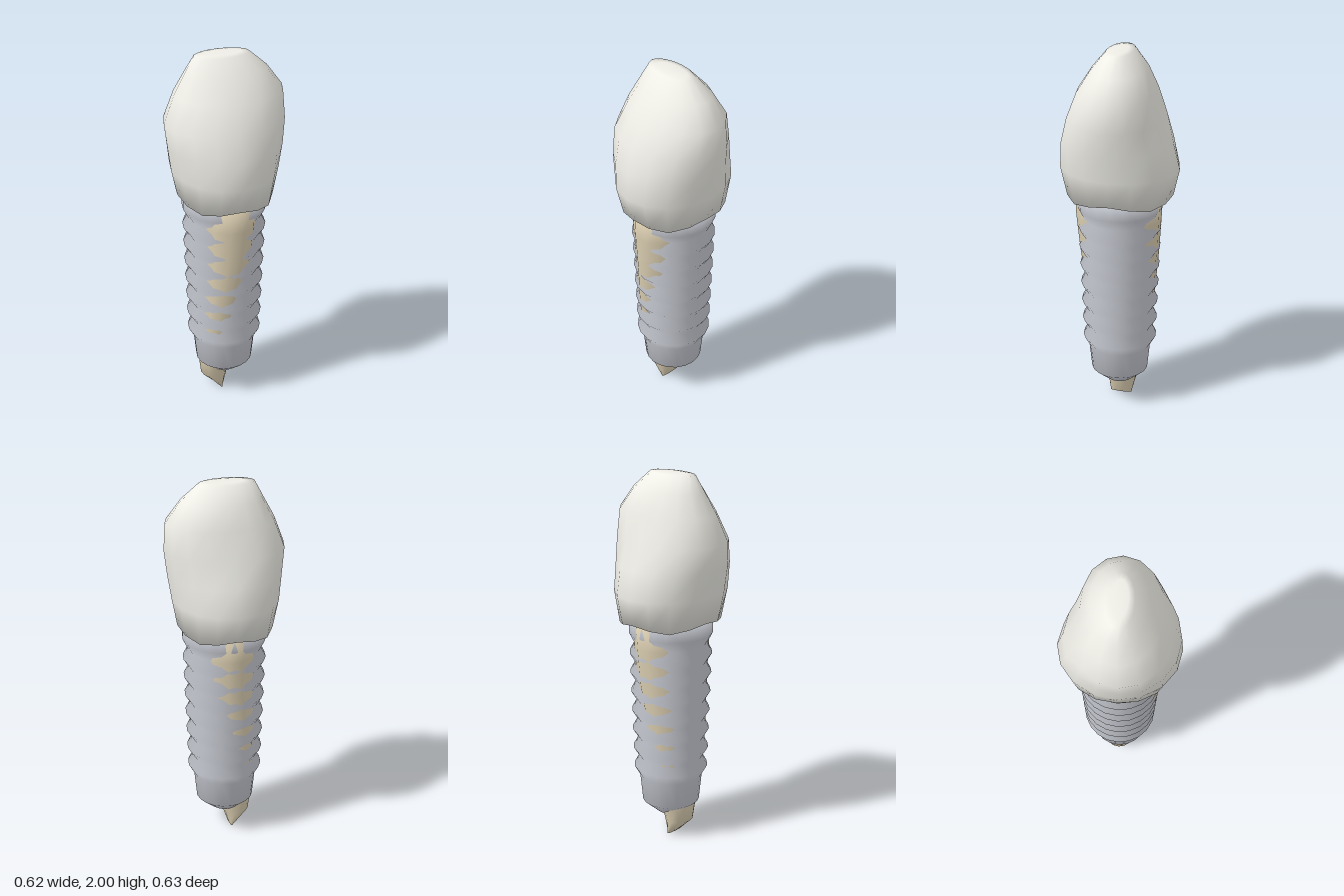
import * as THREE from 'three';

// Smooth closed loft through rings of [y, xMin, xMax, zBack, zFront];
// adjust(point, angle, ringIndex) may move single vertices.
function loft(rings, sides, adjust) {
  const pos = [], index = [];
  const p = new THREE.Vector3();
  rings.forEach(([y, x0, x1, z0, z1], i) => {
    for (let j = 0; j < sides; j++) {
      const t = (j / sides) * Math.PI * 2, c = Math.cos(t), s = Math.sin(t);
      const cx = (x0 + x1) / 2, cz = (z0 + z1) / 2;
      p.set(cx + c * (x1 - x0) / 2, y, cz + s * (z1 - z0) / 2);
      if (adjust) adjust(p, t, i);
      pos.push(p.x, p.y, p.z);
    }
  });
  const last = (rings.length - 1) * sides;
  for (let i = 0; i < rings.length - 1; i++) {
    for (let j = 0; j < sides; j++) {
      const k = (j + 1) % sides;
      const a = i * sides + j, b = i * sides + k;
      index.push(a, a + sides, b, b, a + sides, b + sides);
    }
  }
  // end caps
  const low = pos.length / 3;
  for (const [y, x0, x1, z0, z1] of [rings[0], rings[rings.length - 1]]) {
    pos.push((x0 + x1) / 2, y, (z0 + z1) / 2);
  }
  for (let j = 0; j < sides; j++) {
    const k = (j + 1) % sides;
    index.push(low, j, k, low + 1, last + k, last + j);
  }
  const geo = new THREE.BufferGeometry();
  geo.setAttribute('position', new THREE.Float32BufferAttribute(pos, 3));
  geo.setIndex(index);
  geo.computeVertexNormals();
  return geo;
}

function makeCrown() {
  const rings = [
    [1.24, -0.25, 0.25, -0.285, 0.28],
    [1.39, -0.28, 0.275, -0.315, 0.315],
    [1.53, -0.3, 0.295, -0.28, 0.305],
    [1.66, -0.315, 0.31, -0.25, 0.27],
    [1.80, -0.26, 0.305, -0.21, 0.21],
    [1.91, -0.2, 0.225, -0.145, 0.14],
    [1.995, -0.155, 0.13, -0.07, 0.07],
    [2.0, -0.1, 0.09, -0.04, 0.04],
  ];
  return loft(rings, 16, (p, t, i) => {
    // scalloped lower margin
    if (i === 0) p.y += 0.015 * Math.cos(4 * t) - 0.005;
    // shallow hollow on the back face
    const back = Math.max(0, -Math.sin(t));
    if (i === 3 || i === 4) p.z += 0.02 * back ** 6;
  });
}

function makeRoot() {
  return loft([
    [0, -0.04, -0.02, -0.06, 0.06],
    [0.09, -0.135, 0.01, -0.08, 0.08],
    [0.18, -0.145, 0.03, -0.1, 0.1],
    [0.35, -0.16, 0.03, -0.14, 0.145],
    [0.6, -0.165, 0.08, -0.18, 0.187],
    [0.9, -0.165, 0.145, -0.21, 0.218],
    [1.1, -0.17, 0.165, -0.222, 0.235],
    [1.27, -0.175, 0.175, -0.23, 0.24],
  ], 14);
}

function makeImplant() {
  const profile = [[0, 0.12], [0.075, 0.125], [0.155, 0.195], [0.17, 0.345]];
  // ring threads: crest, then groove
  const count = 7, pitch = 0.108;
  for (let i = 0; i < count; i++) {
    const y = 0.398 + i * pitch, grow = i / (count - 1);
    profile.push([0.2 + 0.02 * grow, y]);
    profile.push([0.17 + 0.022 * grow, y + pitch / 2]);
  }
  // collar
  profile.push([0.222, 1.16], [0.222, 1.26], [0, 1.26]);
  return new THREE.LatheGeometry(profile.map(([r, y]) => new THREE.Vector2(r, y)), 20);
}

export function createModel() {
  const group = new THREE.Group();
  group.name = 'dentalImplant';
  const add = (name, geometry, color) => {
    const mesh = new THREE.Mesh(geometry, new THREE.MeshStandardMaterial({ color }));
    mesh.name = name;
    group.add(mesh);
  };
  add('crown', makeCrown(), 0xeeede6);
  add('root', makeRoot(), 0xdccfb2);
  add('threadedImplant', makeImplant(), 0xc6c9d1);
  return group;
}
